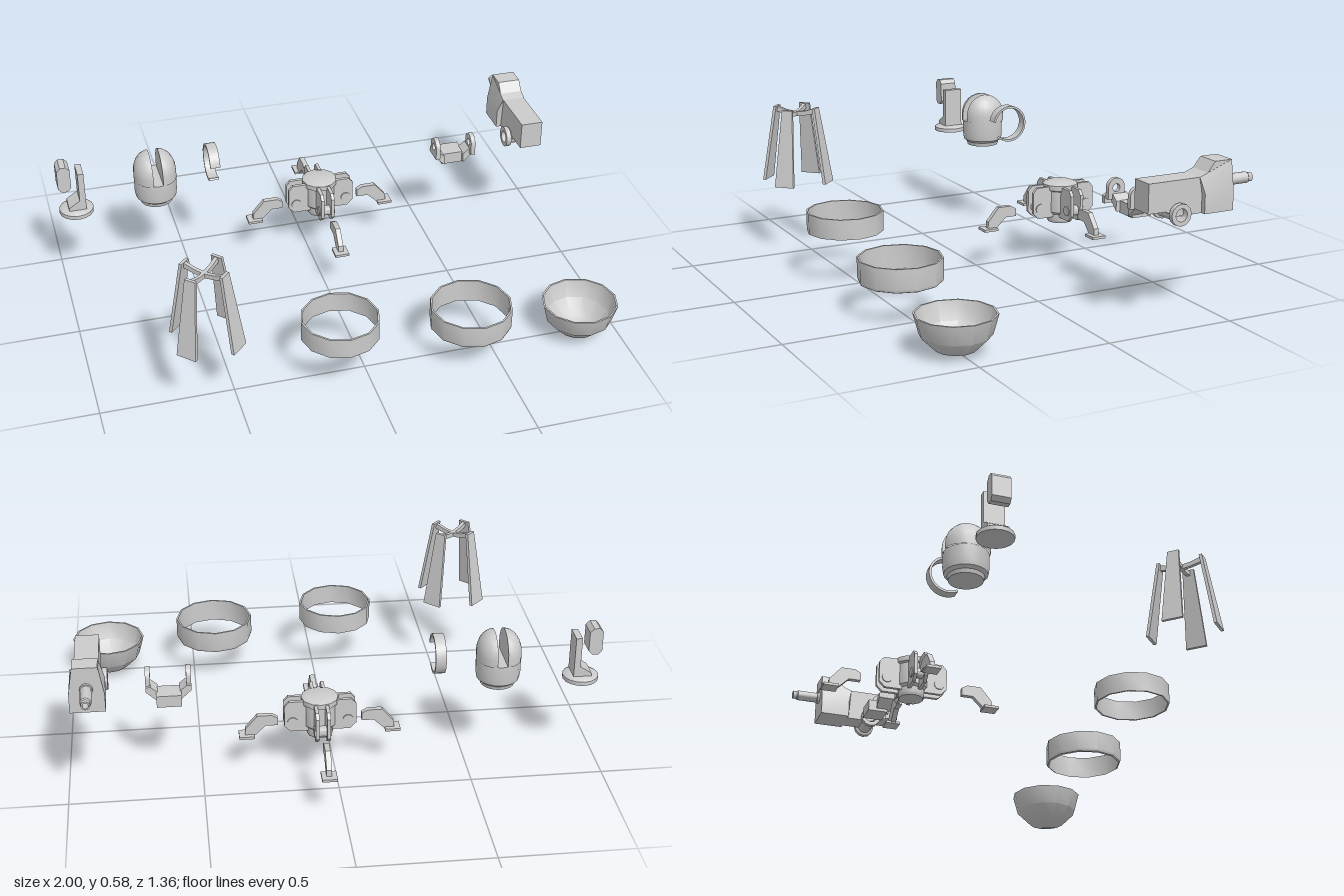
import * as THREE from 'three';
import { toCreasedNormals } from 'three/addons/utils/BufferGeometryUtils.js';

const material = new THREE.MeshStandardMaterial({ color: 0xcccccc, side: THREE.DoubleSide });
const V = (x, y) => new THREE.Vector2(x, y);
const polygon = pts => new THREE.Shape(pts.map(p => V(...p)));

function add(parent, name, geometry, x = 0, y = 0, z = 0) {
  const mesh = new THREE.Mesh(toCreasedNormals(geometry, 0.6), material);
  mesh.name = name;
  mesh.position.set(x, y, z);
  parent.add(mesh);
}

function group(parent, name, x = 0, z = 0) {
  const g = new THREE.Group();
  g.name = name;
  g.position.set(x, 0, z);
  parent.add(g);
  return g;
}

const box = (w, h, d) => new THREE.BoxGeometry(w, h, d);
const lathe = (pts, sides = 12) => new THREE.LatheGeometry(pts.map(p => V(...p)), sides);

// Outline in the x-y plane, extruded to a thickness centred on z
function plate(outline, thickness) {
  const shape = Array.isArray(outline) ? polygon(outline) : outline;
  return new THREE.ExtrudeGeometry(shape, { depth: thickness, bevelEnabled: false, curveSegments: 12 })
    .translate(0, 0, -thickness / 2);
}

// Same plate, turned so the outline's first coordinate runs towards -z
const sidePlate = (outline, thickness) => plate(outline, thickness).rotateY(Math.PI / 2);

function reshape(geometry, rule) {
  const p = geometry.attributes.position;
  const v = new THREE.Vector3();
  for (let i = 0; i < p.count; i++) {
    rule(v.fromBufferAttribute(p, i));
    p.setXYZ(i, v.x, v.y, v.z);
  }
  return geometry;
}

// Thin hemispherical bowl
function buildBowl(root) {
  const arc = (r, steps) => steps.map(i => {
    const a = i * Math.PI / 6;
    return [r * Math.sin(a), 0.146 - r * Math.cos(a)];
  });
  add(root, 'bowl', lathe([...arc(0.146, [0, 1, 2, 3]), ...arc(0.139, [3, 2, 1, 0])]), 0.852, 0, 0.513);
}

// Two open hoops
function buildHoops(root) {
  add(root, 'lowerHoop', lathe([[0.147, 0.13], [0.153, 0.133], [0.156, 0.142], [0.156, 0.22],
    [0.149, 0.22], [0.147, 0.13]]), 0.409, 0, 0.513);
  add(root, 'upperHoop', lathe([[0.148, 0.188], [0.148, 0.267], [0.141, 0.267], [0.141, 0.188],
    [0.148, 0.188]]), -0.1, 0, 0.513);
}

// Four splayed legs joined by a thin cross
function buildLegFrame(root) {
  const frame = group(root, 'legFrame', -0.593, 0.513);
  for (let i = 0; i < 4; i++) {
    const arm = group(frame, 'frameArm');
    arm.rotation.y = Math.PI / 4 + i * Math.PI / 2;
    const leg = reshape(box(0.012, 0.305, 1), v => {
      const t = 0.5 - v.y / 0.305;
      v.x += 0.084 + 0.048 * t;
      v.z *= 0.044 + 0.036 * t;
    });
    add(arm, 'frameLeg', leg, 0, 0.425);
    add(arm, 'crossBar', plate([[0, 0.54], [0.04, 0.545], [0.085, 0.555], [0.085, 0.577],
      [0.04, 0.563], [0, 0.558]], 0.014));
  }
}

// Round foot with an upright and a floating rounded pad
function buildStand(root) {
  const stand = group(root, 'sensorStand', -0.932, -0.345);
  add(stand, 'standBase', lathe([[0, 0.328], [0.067, 0.328], [0.067, 0.344], [0.052, 0.354], [0, 0.354]], 16));
  add(stand, 'standPost', plate([[-0.032, 0.35], [0.036, 0.35], [0.036, 0.515], [0.012, 0.515],
    [0.012, 0.395], [-0.032, 0.366]], 0.078));
  add(stand, 'standPad', plate([[-0.066, 0.458], [-0.052, 0.442], [-0.03, 0.442], [-0.015, 0.458],
    [-0.015, 0.535], [-0.03, 0.551], [-0.052, 0.551], [-0.066, 0.535]], 0.07));
}

// Bullet-shaped housing with a slot across the top
function buildHousing(root) {
  const housing = group(root, 'slottedHousing', -0.614, -0.345);
  const r = 0.084, gap = 0.019, floor = 0.435;
  add(housing, 'housingBody', lathe([[0, 0.33], [0.064, 0.33], [0.068, 0.345], [0.08, 0.355],
    [r, 0.38], [r, floor], [0, floor]], 20));
  const profile = [[r, floor]];
  for (let i = 0; i <= 6; i++) {
    const a = i * Math.PI / 12;
    profile.push([r * Math.cos(a), 0.463 + r * Math.sin(a)]);
  }
  for (const side of [-1, 1]) {
    const lobe = group(housing, 'housingLobe', side * gap);
    if (side < 0) lobe.rotation.y = Math.PI;
    const shell = new THREE.LatheGeometry(profile.map(p => V(...p)), 10, 0, Math.PI);
    add(lobe, 'lobeShell', shell.scale((r - gap) / r, 1, 1));
    const face = [...profile, ...profile.slice(0, -1).reverse().map(([x, y]) => [-x, y])];
    add(lobe, 'lobeFace', new THREE.ShapeGeometry(polygon(face)).rotateY(-Math.PI / 2));
  }
}

// Open band that sits in the housing slot
function buildBand(root) {
  const from = THREE.MathUtils.degToRad(240), to = THREE.MathUtils.degToRad(530);
  const shape = new THREE.Shape();
  shape.absarc(0, 0, 0.075, from, to, false);
  shape.absarc(0, 0, 0.066, to, from, true);
  add(root, 'openBand', sidePlate(shape, 0.04), -0.385, 0.464, -0.344);
}

// Hub with four clevis brackets and four detached feet
function buildHub(root) {
  const base = group(root, 'hubBase', 0.056, -0.345);
  add(base, 'hub', lathe([[0, 0.155], [0.048, 0.155], [0.052, 0.165], [0.052, 0.19], [0.062, 0.2],
    [0.062, 0.285], [0.07, 0.29], [0.07, 0.31], [0.05, 0.318], [0, 0.318]]));
  for (let i = 0; i < 4; i++) {
    const arm = group(base, 'hubArm');
    arm.rotation.y = i * Math.PI / 2;
    for (const z of [-0.021, 0.021]) {
      add(arm, 'bracketPlate', plate([[0.045, 0.18], [0.112, 0.18], [0.135, 0.203], [0.135, 0.285],
        [0.118, 0.305], [0.045, 0.305]], 0.013), 0, 0, z);
    }
    add(arm, 'bracketPin', new THREE.CylinderGeometry(0.02, 0.02, 0.064, 12).rotateX(Math.PI / 2), 0.104, 0.22);
    const foot = group(arm, 'detachedFoot', i % 2 ? 0.045 : 0);
    add(foot, 'footArm', plate([[0.158, 0.2], [0.204, 0.2], [0.245, 0.16], [0.282, 0.16], [0.28, 0.19],
      [0.235, 0.243], [0.18, 0.243], [0.158, 0.23]], 0.02));
    add(foot, 'footPad', box(0.058, 0.01, 0.056), 0.275, 0.16);
  }
}

// Yoke with two rounded ears
function buildYoke(root) {
  const yoke = group(root, 'yoke', 0.613, -0.345);
  add(yoke, 'yokeBlock', box(0.092, 0.046, 0.08), 0, 0.342, 0.005);
  const ear = new THREE.Shape();
  ear.moveTo(-0.08, 0.365);
  ear.lineTo(-0.01, 0.365);
  ear.lineTo(-0.01, 0.41);
  ear.absarc(-0.045, 0.41, 0.035, 0, Math.PI, false);
  const hole = new THREE.Path();
  hole.absarc(-0.045, 0.408, 0.015, 0, Math.PI * 2, true);
  ear.holes.push(hole);
  for (const side of [-1, 1]) {
    add(yoke, 'yokeEar', sidePlate(ear, 0.018), side * 0.075);
    const web = plate([[0.04, 0.325], [0.084, 0.366], [0.084, 0.386], [0.066, 0.386], [0.04, 0.364]], 0.062);
    add(yoke, 'yokeWeb', web.rotateY(side < 0 ? Math.PI : 0), 0, 0, 0.03);
  }
}

// Turret head with barrel pointing to -z
function buildTurret(root) {
  const turret = group(root, 'turret', 0.902);
  add(turret, 'turretBody', sidePlate([[0.178, 0.42], [0.25, 0.42], [0.29, 0.398], [0.515, 0.398],
    [0.515, 0.575], [0.455, 0.575], [0.41, 0.528], [0.178, 0.528]], 0.088));
  // Wide tapered cheeks, sloping down towards the rear
  const cheeks = plate([[-0.064, 0.398], [0.064, 0.398], [0.064, 0.47], [0.046, 0.578], [-0.046, 0.578],
    [-0.064, 0.47]], 0.12);
  add(turret, 'turretCheeks', reshape(cheeks, v => {
    if (v.z > 0 && v.y > 0.5) v.set(v.x, 0.528, v.z + 0.012);
  }), 0, 0, -0.459);
  add(turret, 'turretRidge', sidePlate([[0.41, 0.528], [0.52, 0.528], [0.52, 0.578], [0.45, 0.578]], 0.09));
  // Hollow trunnion
  add(turret, 'trunnion', lathe([[0.024, -0.069], [0.041, -0.069], [0.041, -0.05], [0.03, -0.046],
    [0.03, 0.046], [0.041, 0.05], [0.041, 0.069], [0.024, 0.069], [0.024, -0.069]])
    .rotateZ(Math.PI / 2), 0, 0.408, -0.3);
  add(turret, 'barrel', lathe([[0, 0], [0.024, 0], [0.024, 0.012], [0.021, 0.014], [0.021, 0.098],
    [0.017, 0.102], [0.017, 0.118], [0.011, 0.118], [0.011, 0.08], [0, 0.08]])
    .rotateX(-Math.PI / 2), 0, 0.492, -0.517);
}

export function createModel() {
  const root = new THREE.Group();
  root.name = 'partsKit';
  [buildBowl, buildHoops, buildLegFrame, buildStand, buildHousing, buildBand, buildHub, buildYoke, buildTurret]
    .forEach(build => build(root));
  return root;
}
